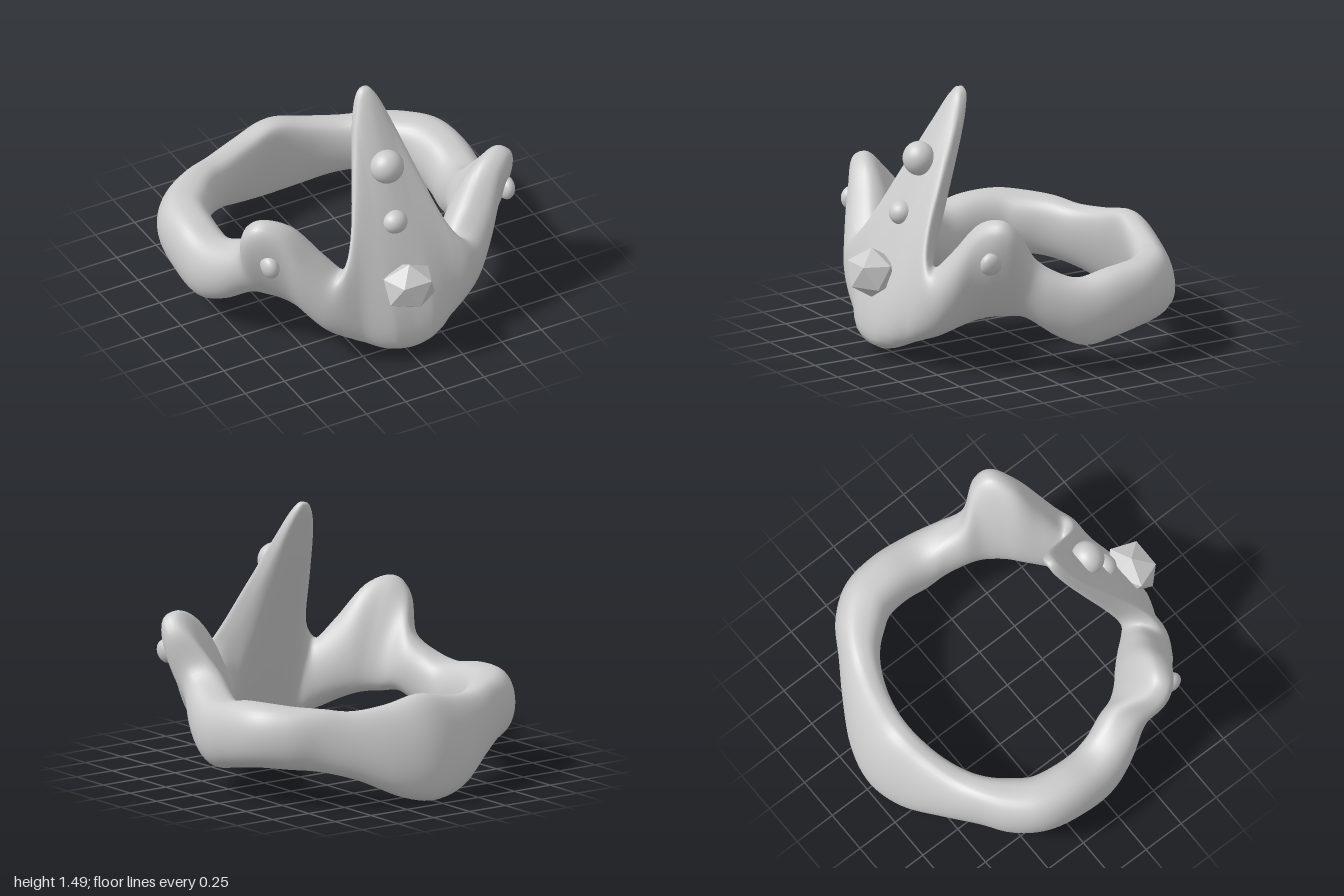
import * as THREE from 'three';

// Half of the band, front centre to back centre.
// Lower edge of each cross-section (x, y, z)
const LOWER = [
  [0, .04, .835], [.05, .045, .835], [.11, .06, .83], [.17, .08, .81], [.23, .11, .775], [.29, .145, .725],
  [.35, .19, .655], [.41, .25, .56], [.47, .29, .475], [.52, .31, .41], [.57, .32, .34], [.64, .32, .25],
  [.74, .21, .12], [.80, .14, -.02], [.81, .17, -.2], [.78, .20, -.38], [.70, .20, -.52], [.58, .19, -.63],
  [.41, .14, -.76], [.2, .04, -.88], [0, 0, -.915],
];
// Upper edge of each cross-section (x, y, z)
const UPPER = [
  [0, 1.485, .295], [.05, 1.45, .305], [.105, 1.31, .36], [.17, 1.06, .47], [.24, .78, .60], [.31, .63, .68],
  [.40, .58, .70], [.52, .69, .66], [.65, .87, .58], [.785, .92, .50], [.82, .83, .40], [.75, .65, .27],
  [.77, .56, .13], [.79, .52, -.02], [.80, .55, -.2], [.77, .56, -.38], [.67, .55, -.5], [.54, .54, -.61],
  [.39, .52, -.67], [.2, .54, -.72], [0, .58, -.745],
];
// Thickness towards the outside and the inside
const GIRTH = [
  [.13, .07], [.13, .07], [.13, .07], [.135, .07], [.14, .08], [.15, .10],
  [.155, .13], [.15, .14], [.135, .13], [.12, .12], [.12, .11], [.135, .12],
  [.145, .14], [.15, .15], [.15, .15], [.15, .15], [.14, .14], [.11, .12],
  [.11, .11], [.12, .10], [.135, .09],
];

// Closed smooth curve through a half list and its mirror image
function mirroredLoop(half, sign) {
  const pts = half.map(([x, y, z = 0]) => new THREE.Vector3(x, y, z));
  const other = pts.slice(1, -1).reverse().map((p) => new THREE.Vector3(p.x * sign, p.y, p.z));
  return new THREE.CatmullRomCurve3([...pts, ...other], true, 'catmullrom', 0.5);
}

function bandGeometry(rings = 240, sides = 40) {
  const lower = mirroredLoop(LOWER, -1);
  const upper = mirroredLoop(UPPER, -1);
  const girth = mirroredLoop(GIRTH, 1);
  const pos = [], index = [];
  for (let i = 0; i < rings; i++) {
    const t = i / rings;
    const lo = lower.getPoint(t), hi = upper.getPoint(t), g = girth.getPoint(t);
    const along = lower.getPoint((t + 0.015) % 1).sub(lower.getPoint((t + 0.985) % 1)).setY(0);
    const axis = hi.clone().sub(lo).multiplyScalar(0.5);
    const mid = lo.clone().add(axis);
    const out = along.cross(axis).normalize();
    // tall sections are blunter and heavier at the bottom
    const taper = THREE.MathUtils.clamp((axis.length() * 2 - 0.7) * 0.6, 0, 0.4);
    const power = 0.75 - 0.4 * taper;
    for (let j = 0; j < sides; j++) {
      const a = (j / sides) * Math.PI * 2;
      const s = Math.cos(a), c = Math.sin(a);
      const w = Math.sign(c) * Math.abs(c) ** power * (c > 0 ? g.x : g.y) * (1 - taper * s);
      const p = mid.clone().addScaledVector(axis, s).addScaledVector(out, w);
      pos.push(p.x, p.y, p.z);
      const k = (j + 1) % sides, n = ((i + 1) % rings) * sides;
      index.push(i * sides + j, i * sides + k, n + j, i * sides + k, n + k, n + j);
    }
  }
  const geo = new THREE.BufferGeometry();
  geo.setAttribute('position', new THREE.Float32BufferAttribute(pos, 3));
  geo.setIndex(index);
  geo.computeVertexNormals();
  return geo;
}

export function createModel() {
  const group = new THREE.Group();
  const smooth = new THREE.MeshStandardMaterial({ color: 0xcccccc });
  const faceted = new THREE.MeshStandardMaterial({ color: 0xcccccc, flatShading: true });

  const add = (name, geo, mat, at = [0, 0, 0], scale = [1, 1, 1]) => {
    const mesh = new THREE.Mesh(geo, mat);
    mesh.name = name;
    mesh.position.set(...at);
    mesh.scale.set(...scale);
    group.add(mesh);
    return mesh;
  };

  // Closed band with centre spire and two side lobes
  add('crownBand', bandGeometry(), smooth);

  // Round beads
  const ball = new THREE.SphereGeometry(1, 32, 20);
  add('upperBead', ball, smooth, [0, 1.105, .575], [.097, .097, .09]);
  add('middleBead', ball, smooth, [-.01, .8, .685], [.072, .067, .067]);
  add('leftBead', ball, smooth, [.768, .69, .555], [.045, .068, .068]).rotation.z = -.15;
  add('rightBead', ball, smooth, [-.745, .67, .57], [.05, .07, .068]).rotation.z = .15;

  // Faceted gem standing on a vertex
  const gem = new THREE.IcosahedronGeometry(.145, 0);
  gem.rotateZ(-Math.atan(2 / (1 + Math.sqrt(5)))).rotateY(Math.PI / 2);
  add('frontGem', gem, faceted, [-.02, .478, .87], [1.15, 1, 1]);

  return group;
}
